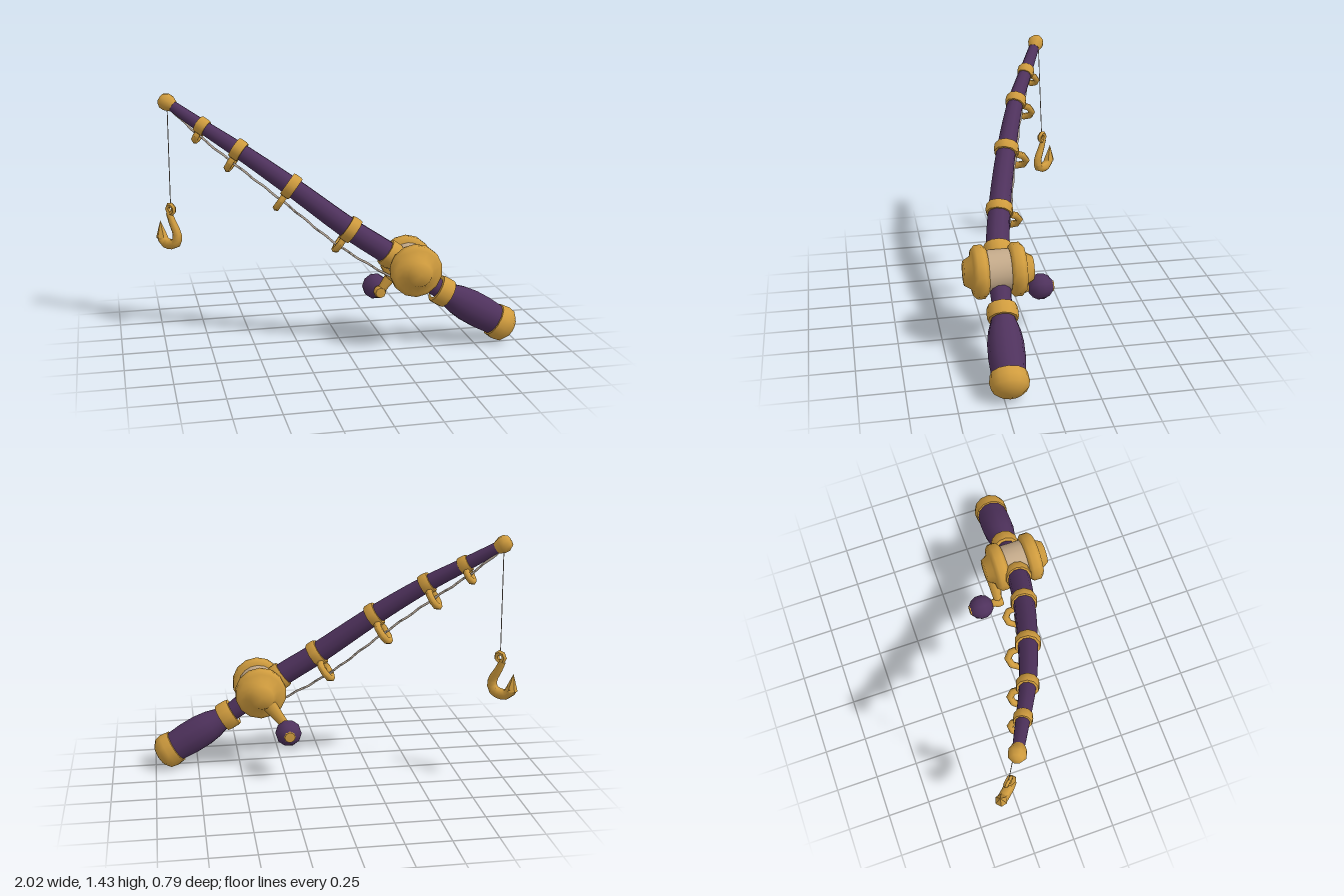
import * as THREE from 'three';
import { toCreasedNormals } from 'three/addons/utils/BufferGeometryUtils.js';

const mat = (name, color) => Object.assign(new THREE.MeshStandardMaterial({ color }), { name });
const V = (x, y, z) => new THREE.Vector3(x, y, z);
const UP = V(0, 1, 0);

export function createModel() {
  const purple = mat('purple wood', 0x4f325d);
  const gold = mat('gold metal', 0xd09c3e);
  const thread = mat('wound thread', 0xc4aa8a);
  const cord = mat('pale cord', 0xb3a596);
  const model = new THREE.Group();
  model.name = 'fishingRod';

  function add(name, geometry, material, crease = 0.75, parent = model) {
    const mesh = new THREE.Mesh(toCreasedNormals(geometry, crease), material);
    mesh.name = name;
    parent.add(mesh);
    return mesh;
  }

  // Turned part: profile of [radius, distance] along dir from pos
  function turned(name, profile, sides, material, pos, dir, crease) {
    const points = profile.map(([r, t]) => new THREE.Vector2(r, t));
    const mesh = add(name, new THREE.LatheGeometry(points, sides), material, crease);
    mesh.position.copy(pos);
    mesh.quaternion.setFromUnitVectors(UP, dir.clone().normalize());
    return mesh;
  }

  // Tube whose radius follows a rule along its length
  function taperedTube(curve, segments, sides, radiusAt) {
    const g = new THREE.TubeGeometry(curve, segments, 1, sides, false);
    const p = g.attributes.position;
    const v = V(0, 0, 0);
    for (let i = 0; i <= segments; i++) {
      const c = curve.getPointAt(i / segments);
      for (let j = 0; j <= sides; j++) {
        const k = i * (sides + 1) + j;
        v.fromBufferAttribute(p, k).sub(c).multiplyScalar(radiusAt(i / segments)).add(c);
        p.setXYZ(k, v.x, v.y, v.z);
      }
    }
    return g;
  }

  // Curved shaft, slimmer where it passes the reel
  const butt = V(0.915, 0.105, 0.222);
  const collar = V(0.565, 0.315, 0.2);
  const seat = V(0.26, 0.545, 0.175);
  const guides = [V(0.04, 0.692, 0.13), V(-0.28, 0.935, 0.035), V(-0.56, 1.135, -0.07), V(-0.75, 1.26, -0.165)];
  const tip = V(-0.935, 1.387, -0.262);
  const shaft = new THREE.CatmullRomCurve3([collar, seat, ...guides, tip]);
  add('shaft', taperedTube(shaft, 24, 10, t => t < 0.15 ? 0.052 + 0.1 * t : 0.068 - 0.038 * t * t), purple, 1);

  // Grip, end cap and collars
  const gripDir = butt.clone().sub(collar).normalize();
  turned('grip', [[0.06, 0], [0.07, 0.05], [0.088, 0.11], [0.098, 0.18], [0.099, 0.27], [0.09, 0.38]],
    12, purple, collar, gripDir, 1);
  turned('endCap', [[0.08, -0.05], [0.1, -0.045], [0.106, 0], [0.098, 0.038], [0.066, 0.066], [0.03, 0.077], [0, 0.079]],
    12, gold, butt, gripDir, 1);
  const band = (r, h) => [[r - 0.025, -h], [r - 0.004, -h], [r, -h * 0.6], [r, h * 0.6], [r - 0.004, h], [r - 0.025, h]];
  turned('gripCollar', band(0.086, 0.04), 12, gold, collar, gripDir);
  turned('seatCollar', band(0.08, 0.034), 12, gold, seat, seat.clone().sub(collar));

  // Tip knob
  turned('tipKnob', [[0, -0.045], [0.034, -0.043], [0.048, -0.01], [0.048, 0.018], [0.032, 0.042], [0, 0.046]],
    8, gold, tip, tip.clone().sub(guides[3]), 1);

  // Line guides: a band round the shaft and a ring hanging under it
  const sizes = [[0.079, 0.058, 0.114], [0.074, 0.062, 0.113], [0.063, 0.053, 0.095], [0.051, 0.037, 0.07]];
  guides.forEach((pos, i) => {
    const [bandRadius, ringRadius, drop] = sizes[i];
    const next = guides[i + 1] || tip;
    const prev = guides[i - 1] || seat;
    const along = next.clone().sub(prev).normalize();
    const down = V(-0.36, -0.75, -0.56);
    down.addScaledVector(along, -down.dot(along)).normalize();
    turned('guideBand', band(bandRadius, 0.029), 10, gold, pos, along, 1);
    const ring = add('guideRing', new THREE.TorusGeometry(ringRadius, 0.015 + ringRadius * 0.1, 6, 8), gold, 1.1);
    ring.quaternion.setFromUnitVectors(V(0, 0, 1), along);
    ring.position.copy(pos).addScaledVector(down, drop);
  });

  // Reel: wound spool between two mirrored flanges
  const reel = V(0.377, 0.478, 0.193);
  turned('spool', [[0.118, -0.08], [0.118, 0.08]], 18, thread, reel, V(0, 0, 1), 1);
  const flange = [[0.09, 0.062], [0.126, 0.062], [0.149, 0.082], [0.149, 0.124], [0.127, 0.145],
    [0.092, 0.152], [0.069, 0.192], [0, 0.198]];
  for (const side of [1, -1]) turned('reelFlange', flange, 14, gold, reel, V(0, 0, side), 1);

  // Crank arm, pin and knob
  const crankEnd = V(0.235, 0.283, 0.04);
  const arm = new THREE.LineCurve3(V(0.345, 0.435, 0.045), crankEnd);
  add('crankArm', taperedTube(arm, 6, 8, t => 0.044 - 0.02 * t), gold, 1);
  turned('crankPin', [[0, -0.03], [0.03, -0.028], [0.036, -0.01], [0.036, 0.01], [0.026, 0.03], [0.022, 0.06],
    [0.022, 0.174], [0.036, 0.176], [0.03, 0.187], [0, 0.189]], 8, gold, crankEnd, V(0, 0, -1), 1);
  const knob = add('crankKnob', new THREE.SphereGeometry(0.076, 10, 7), purple, 0.8);
  knob.position.set(0.235, 0.283, -0.072);
  knob.rotation.x = Math.PI / 2;

  // Line running through the guides, slightly wavy
  const run = new THREE.CatmullRomCurve3([V(0.43, 0.318, 0.19), V(0.3, 0.388, 0.155), V(-0.01, 0.58, 0.065),
    V(-0.31, 0.83, -0.02), V(-0.6, 1.065, -0.115), V(-0.78, 1.215, -0.195), V(-0.93, 1.36, -0.265)]);
  const wavy = run.getSpacedPoints(40).map((p, i) => p.add(V(0, Math.sin(i * 1.9) * 0.003, Math.cos(i * 1.9) * 0.003)));
  add('line', new THREE.TubeGeometry(new THREE.CatmullRomCurve3(wavy), 80, 0.007, 5), cord, 1.3);

  // Hanging line
  const drop = new THREE.LineCurve3(V(-0.933, 1.37, -0.28), V(-0.933, 0.78, -0.305));
  add('hangingLine', new THREE.TubeGeometry(drop, 1, 0.0025, 4), cord, 1.6);

  // Hook, drawn in its own plane and turned to face outward
  const hook = new THREE.Group();
  hook.name = 'hook';
  hook.position.set(-0.933, 0, -0.308);
  hook.rotation.y = Math.atan2(0.74, -0.67);
  model.add(hook);
  const eye = add('hookEye', new THREE.TorusGeometry(0.026, 0.015, 5, 7), gold, 1.1, hook);
  eye.position.y = 0.757;
  const bend = new THREE.CatmullRomCurve3([V(0.015, 0.735, 0), V(-0.01, 0.68, 0), V(-0.045, 0.61, 0),
    V(-0.035, 0.56, 0), V(0.015, 0.543, 0), V(0.06, 0.553, 0), V(0.082, 0.59, 0)]);
  add('hookBend', taperedTube(bend, 12, 6, t => 0.019 + 0.012 * Math.min(1, t * 1.6)), gold, 1.1, hook);
  // Pointed barb, wider than the bend and leaning outward
  const barb = add('hookBarb', new THREE.ConeGeometry(0.036, 0.1, 6), gold, 0.8, hook);
  barb.position.set(0.083, 0.627, 0);
  barb.rotation.z = -0.1;

  return model;
}
